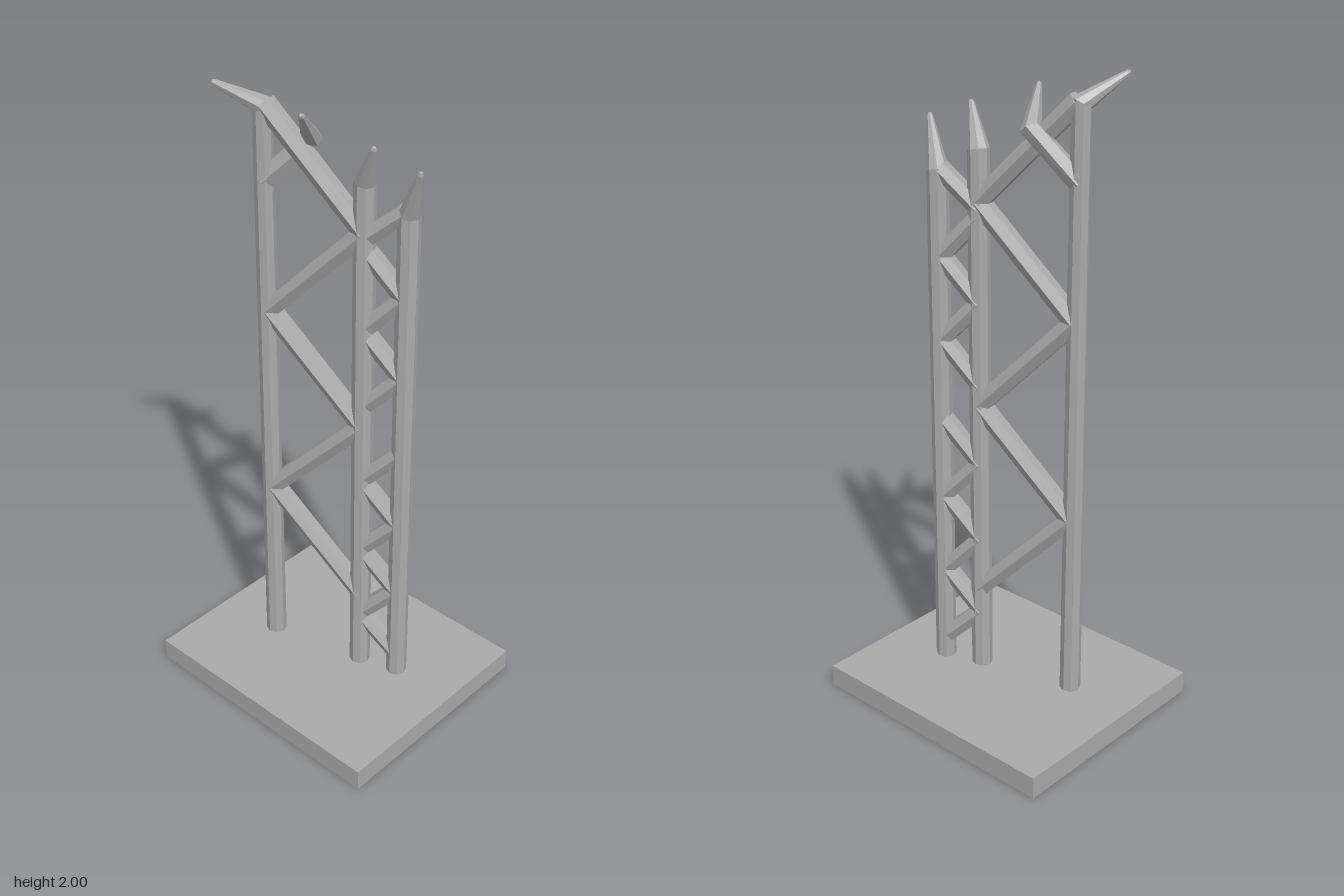
import * as THREE from 'three';

const V = (x, y, z) => new THREE.Vector3(x, y, z);

// Faceted limb swept along points, with mitred rings and closed ends
function limbGeometry(points, radii, sides) {
  const pos = [], idx = [], n = points.length;
  const dir = (i) => points[i + 1].clone().sub(points[i]).normalize();
  const u = new THREE.Vector3();
  for (let i = 0; i < n; i++) {
    const t = i === 0 ? dir(0) : i === n - 1 ? dir(n - 2) : dir(i - 1).add(dir(i)).normalize();
    if (i === 0) {
      if (Math.abs(t.y) > 0.99) u.set(1, 0, 0);
      else u.crossVectors(t, V(0, 1, 0)).normalize();
    }
    u.addScaledVector(t, -u.dot(t)).normalize();
    const v = t.clone().cross(u);
    for (let j = 0; j < sides; j++) {
      const a = (j / sides) * Math.PI * 2;
      const p = points[i].clone()
        .addScaledVector(u, Math.cos(a) * radii[i])
        .addScaledVector(v, Math.sin(a) * radii[i]);
      pos.push(p.x, p.y, p.z);
    }
  }
  for (let i = 0; i < n - 1; i++) {
    for (let j = 0; j < sides; j++) {
      const a = i * sides + j, b = i * sides + ((j + 1) % sides);
      idx.push(a, b, a + sides, b, b + sides, a + sides);
    }
  }
  const last = (n - 1) * sides;
  for (let j = 1; j < sides - 1; j++) {
    idx.push(0, j + 1, j, last, last + j, last + j + 1);
  }
  const g = new THREE.BufferGeometry();
  g.setAttribute('position', new THREE.Float32BufferAttribute(pos, 3));
  g.setIndex(idx);
  const flat = g.toNonIndexed();
  flat.computeVertexNormals();
  return flat;
}

export function createModel() {
  const group = new THREE.Group();
  const grey = new THREE.MeshStandardMaterial({ color: 0xaaaaaa, flatShading: true });
  grey.name = 'grey';

  const add = (name, geometry) => {
    const mesh = new THREE.Mesh(geometry, grey);
    mesh.name = name;
    group.add(mesh);
    return mesh;
  };

  // Limb whose last stretch tapers to a blunt claw
  const clawed = (name, points, r, sides) => {
    const tip = points[points.length - 1], prev = points[points.length - 2];
    const near = tip.clone().lerp(prev, 0.05);
    const path = [...points.slice(0, -1), near, tip];
    const radii = path.map((p, i) => (i < path.length - 2 ? r : i === path.length - 2 ? 0.009 : 0.005));
    add(name, limbGeometry(path, radii, sides));
  };

  // Base slab
  add('base', new THREE.BoxGeometry(0.734, 0.07, 0.868)).position.y = 0.035;

  // Posts, each bent into a claw at the top
  const front = (y) => V(0.057, y, 0.218);
  const middle = (y) => V(0.016, y, 0.095);
  const back = (y) => V(-0.062, y, -0.212);
  clawed('frontPost', [front(0.05), front(1.69), V(0.022, 1.838, 0.281)], 0.033, 8);
  clawed('middlePost', [middle(0.05), middle(1.76), V(-0.021, 1.885, 0.157)], 0.033, 8);
  clawed('backPost', [back(0.05), back(1.92), V(-0.177, 1.997, -0.284)], 0.033, 8);

  // Side branch with its own claw
  clawed('branch', [back(1.7), V(0.0, 1.842, -0.086), V(-0.101, 1.947, -0.028)], 0.032, 6);

  // Zigzag braces between two posts, through the listed heights
  const zigzag = (name, heights, a, b, r) => {
    for (let i = 0; i < heights.length - 1; i++) {
      const [p, q] = i % 2 ? [b, a] : [a, b];
      add(name, limbGeometry([p(heights[i]), q(heights[i + 1])], [r, r], 6));
    }
  };
  const backNode = (y) => V(-0.06, y, -0.205);
  const midNode = (y) => V(0.019, y, 0.092);
  const frontNode = (y) => V(0.055, y, 0.21);
  zigzag('longBrace', [0.35, 0.665, 0.98, 1.295, 1.61, 1.925], middle, backNode, 0.032);
  zigzag('shortBrace', [0.145, 0.265, 0.395, 0.525, 0.655, 0.785, 0.915], frontNode, midNode, 0.029);
  zigzag('shortBrace', [1.045, 1.175, 1.305, 1.435, 1.565], midNode, frontNode, 0.029);
  zigzag('shortBrace', [1.695, 1.59], frontNode, midNode, 0.029);

  return group;
}
